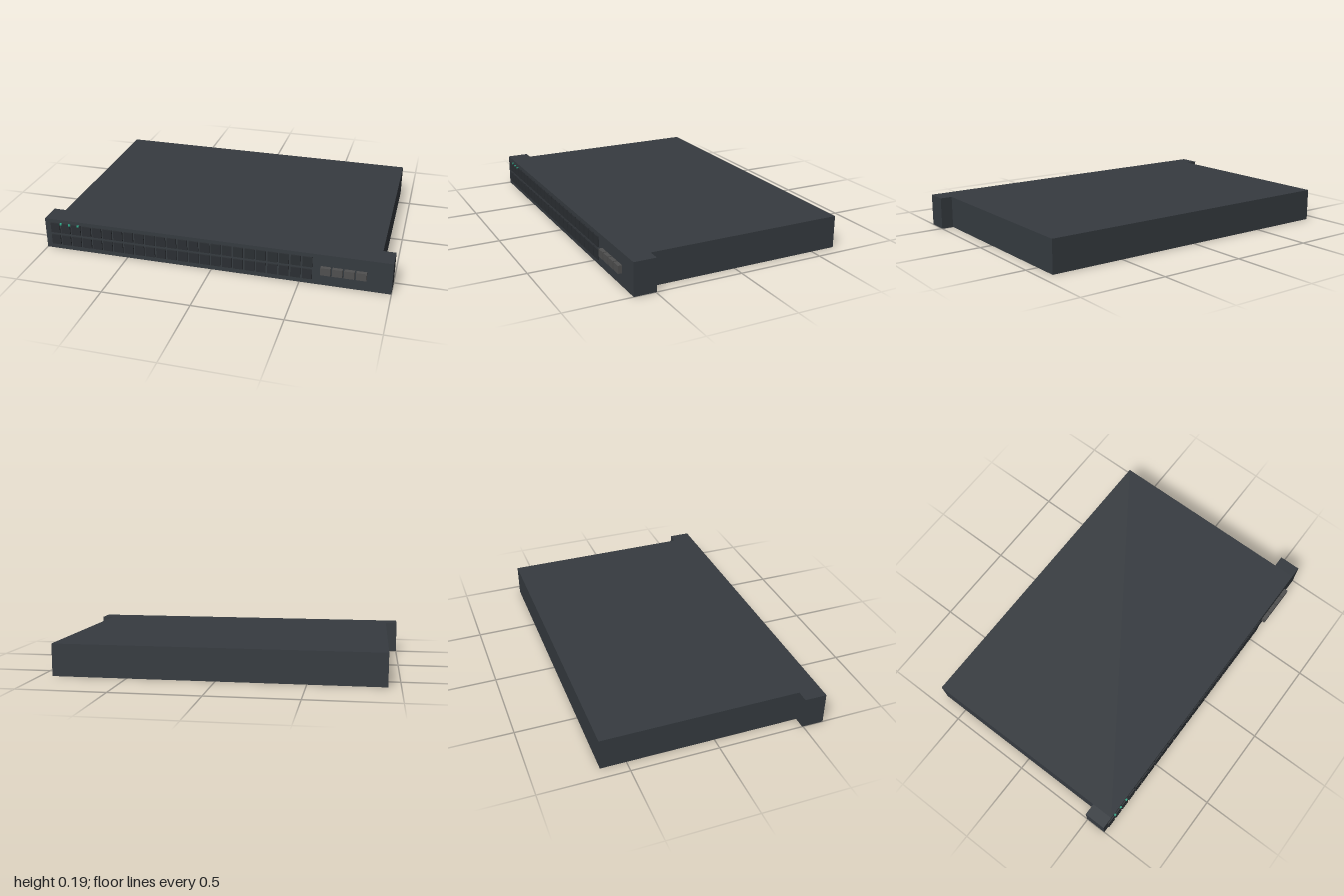
import * as THREE from 'three';

export function createModel() {
  const model = new THREE.Group();
  const material = (color) => new THREE.MeshStandardMaterial({ color });
  const caseGrey = material(0x363b40);
  const portGrey = material(0x2b2f33);
  const cageGrey = material(0x505050);
  const lampGreen = material(0x2fae8c);

  // Box given by its lower and upper corners
  function box(name, parent, mat, [x0, y0, z0], [x1, y1, z1]) {
    const mesh = new THREE.Mesh(new THREE.BoxGeometry(x1 - x0, y1 - y0, z1 - z0), mat);
    mesh.position.set((x0 + x1) / 2, (y0 + y1) / 2, (z0 + z1) / 2);
    mesh.name = name;
    parent.add(mesh);
  }

  function group(name) {
    const g = new THREE.Group();
    g.name = name;
    model.add(g);
    return g;
  }

  const height = 0.186, front = 0.622, pitch = 0.0643;

  // Flat housing
  box('housing', model, caseGrey, [-0.93, 0, -0.645], [0.93, height, front]);

  // Rack mounting ears on both sides
  box('rightEar', model, caseGrey, [-1, 0, 0.495], [-0.93, height, front]);
  box('leftEar', model, caseGrey, [0.93, 0, 0.495], [1, height, front]);

  // Two rows of 24 network ports
  const ports = group('networkPorts');
  for (let col = 0; col < 24; col++) {
    const x = -0.936 + col * pitch;
    for (const y of [0.06, 0.135]) {
      box('networkPort', ports, portGrey, [x - 0.027, y - 0.03, front - 0.01], [x + 0.027, y + 0.03, 0.63]);
    }
  }

  // Four uplink cages
  const cages = group('uplinkCages');
  for (let i = 0; i < 4; i++) {
    const x = 0.644 + i * pitch;
    box('uplinkCage', cages, cageGrey, [x - 0.028, 0.073, front - 0.01], [x + 0.028, 0.117, 0.645]);
  }

  // Small status lamps above the first ports
  const lamps = group('statusLamps');
  for (const x of [-0.9, -0.847, -0.794]) {
    box('statusLamp', lamps, lampGreen, [x - 0.006, 0.158, front - 0.005], [x + 0.006, 0.167, 0.632]);
  }

  return model;
}
